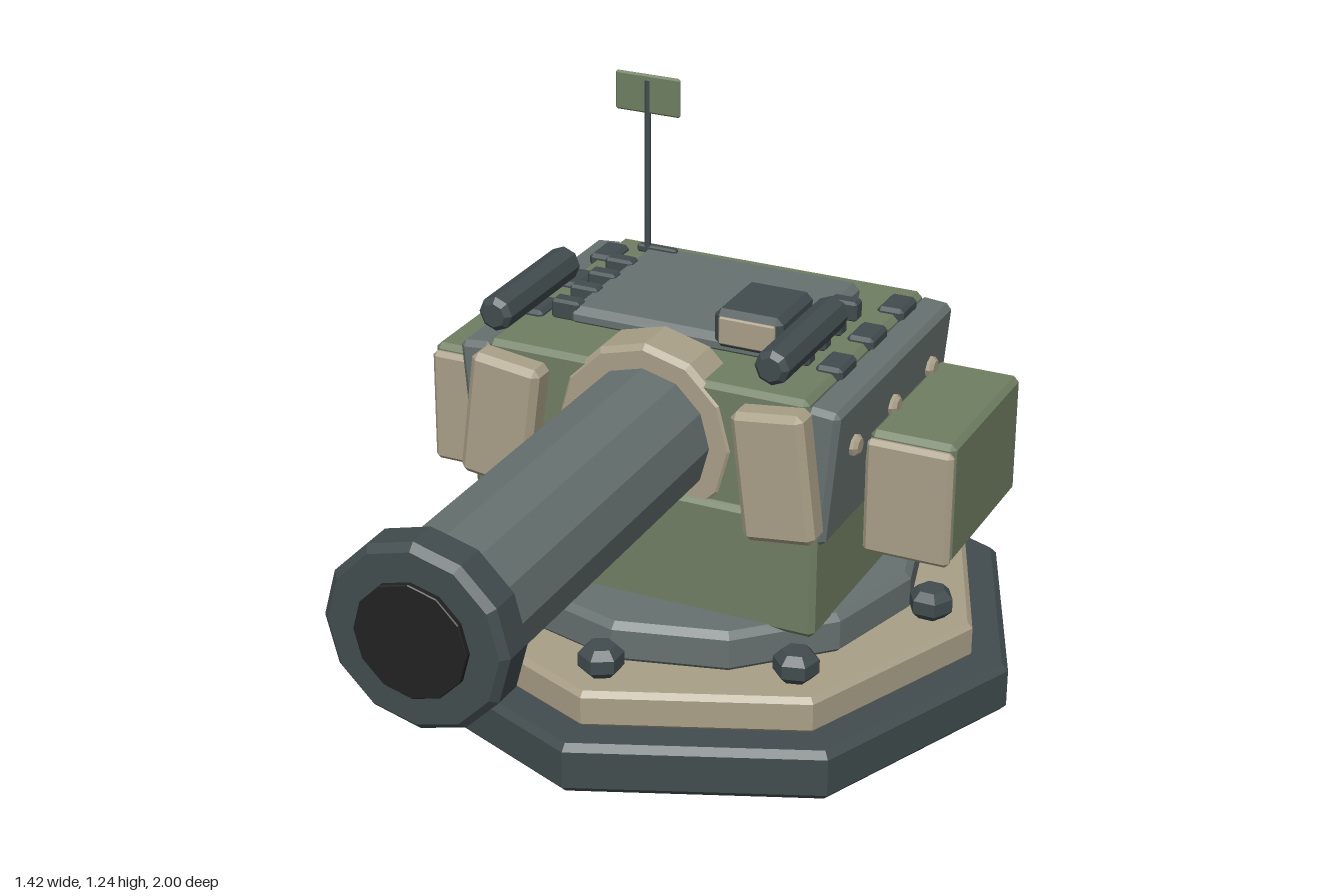
import * as THREE from 'three';
import { ConvexGeometry } from 'three/addons/geometries/ConvexGeometry.js';

const paint = (name, color) => {
  const m = new THREE.MeshStandardMaterial({ color, flatShading: true });
  m.name = name;
  return m;
};

// Box with chamfered edges
function chamferBox(w, h, d, b) {
  const pts = [];
  for (const x of [-1, 1]) for (const y of [-1, 1]) for (const z of [-1, 1]) {
    const X = x * w / 2, Y = y * h / 2, Z = z * d / 2;
    pts.push(
      new THREE.Vector3(X, Y - y * b, Z - z * b),
      new THREE.Vector3(X - x * b, Y, Z - z * b),
      new THREE.Vector3(X - x * b, Y - y * b, Z));
  }
  return new ConvexGeometry(pts);
}

// Upright prism from y = 0 to h with chamfered rims
function prism(r, h, b, sides) {
  const profile = [[0, 0], [r - b, 0], [r, b], [r, h - b], [r - b, h], [0, h]];
  return new THREE.LatheGeometry(profile.map(p => new THREE.Vector2(...p)), sides);
}

export function createModel() {
  const root = new THREE.Group();
  root.name = 'turret';
  const dark = paint('dark slate', 0x414c4e);
  const slate = paint('grey slate', 0x66716f);
  const tan = paint('sand', 0xa99f87);
  const green = paint('olive green', 0x6f7e62);
  const black = paint('bore black', 0x212121);

  const add = (name, geo, mat, x, y, z) => {
    const m = new THREE.Mesh(geo, mat);
    m.name = name;
    m.position.set(x, y, z);
    root.add(m);
    return m;
  };
  // Box given by its limits on each axis
  const box = (name, mat, x0, x1, y0, y1, z0, z1, b = 0.012) =>
    add(name, chamferBox(x1 - x0, y1 - y0, z1 - z0, b), mat,
      (x0 + x1) / 2, (y0 + y1) / 2, (z0 + z1) / 2);
  // Prism lying along z
  const tube = (name, mat, r, z0, z1, b, sides, x, y) => {
    const m = add(name, prism(r, z1 - z0, b, sides), mat, x, y, z0);
    m.rotation.x = Math.PI / 2;
    return m;
  };

  // Stepped base
  const cz = -0.29;
  add('basePlate', prism(0.71, 0.115, 0.015, 8), dark, 0, 0, cz);
  add('baseStep', prism(0.625, 0.085, 0.012, 8), tan, 0, 0.11, cz);
  add('turntable', prism(0.48, 0.095, 0.015, 12), slate, 0, 0.19, cz);
  for (let i = 0; i < 8; i++) {
    const a = i * Math.PI / 4;
    const bolt = add('baseBolt', prism(0.049, 0.066, 0.018, 6), dark,
      Math.sin(a) * 0.528, 0.194, cz + Math.cos(a) * 0.528);
    bolt.rotation.y = a;
  }

  // Body
  box('lowerBody', green, -0.395, 0.395, 0.27, 0.54, -0.62, 0.05);
  box('upperBody', green, -0.365, 0.365, 0.5, 0.8, -0.61, 0.035);
  box('roofHatch', slate, -0.255, 0.255, 0.79, 0.835, -0.52, -0.12, 0.015);

  // Rear access panel
  box('rearPanel', slate, -0.16, 0.16, 0.61, 0.74, -0.618, -0.6, 0.004);
  for (const x of [-0.13, 0.13]) box('rearPanelBolt', dark, x - 0.012, x + 0.012, 0.62, 0.645, -0.624, -0.61, 0.004);

  // Parts on both sides
  for (const s of [-1, 1]) {
    const side = (name, mat, x0, x1, ...rest) =>
      box(name, mat, Math.min(s * x0, s * x1), Math.max(s * x0, s * x1), ...rest);

    const plate = side('sideArmour', slate, 0.345, 0.42, 0.482, 0.787, -0.612, 0.035);
    plate.rotation.z = -s * 0.09;
    const cheek = add('frontCheek', chamferBox(0.16, 0.285, 0.07, 0.014), tan, s * 0.312, 0.64, 0.06);
    cheek.rotation.z = s * 0.125;

    side('sidePod', green, 0.42, 0.61, 0.39, 0.665, -0.565, -0.165);
    side('sidePodFront', tan, 0.417, 0.61, 0.388, 0.65, -0.175, -0.15, 0.01);
    for (const z of [-0.5, -0.285, -0.07]) {
      const rivet = add('armourRivet', prism(0.024, 0.03, 0.008, 8), tan, s * 0.41, 0.675, z);
      rivet.rotation.z = -s * Math.PI / 2;
    }

    // Roof fittings
    tube('roofCylinder', dark, 0.038, -0.225, 0.105, 0.012, 8, s * 0.31, 0.89);
    for (const z of [-0.5, -0.33, -0.16]) side('roofLug', dark, 0.315, 0.375, 0.78, 0.812, z - 0.045, z + 0.045, 0.008);
    for (const z of [-0.4, -0.315, -0.23, -0.145]) side('hatchLatch', dark, 0.232, 0.298, 0.797, 0.843, z - 0.019, z + 0.019, 0.006);
  }

  // Gun
  tube('barrelCollar', tan, 0.203, -0.08, 0.04, 0.012, 12, 0, 0.655);
  tube('barrel', slate, 0.151, 0, 0.92, 0.005, 12, 0, 0.655);
  tube('muzzle', dark, 0.193, 0.893, 0.988, 0.015, 12, 0, 0.655);
  tube('bore', black, 0.118, 0.95, 1, 0.002, 12, 0, 0.655);

  // Sight
  box('sight', dark, 0.11, 0.262, 0.835, 0.92, -0.24, -0.06, 0.014);
  box('sightLens', tan, 0.125, 0.25, 0.847, 0.907, -0.066, -0.055, 0.003);

  // Antenna with panel
  add('antennaPole', new THREE.CylinderGeometry(0.007, 0.007, 0.43, 6), dark, -0.245, 1.01, -0.49);
  box('antennaFoot', dark, -0.27, -0.175, 0.825, 0.843, -0.503, -0.485, 0.004);
  box('antennaPanel', green, -0.322, -0.168, 1.15, 1.238, -0.497, -0.487, 0.004);

  return root;
}
